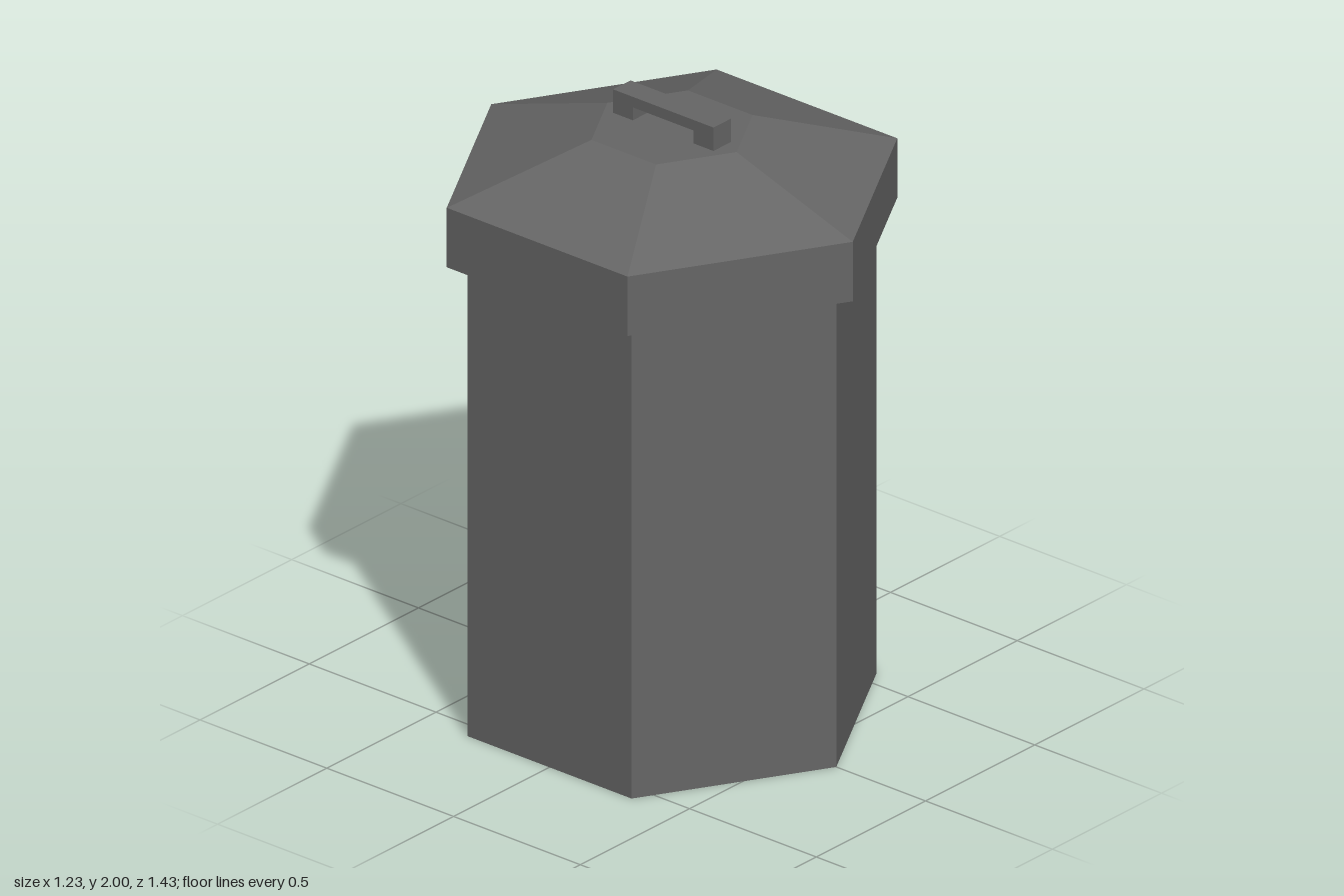
import * as THREE from 'three';

export function createModel() {
  const model = new THREE.Group();
  model.name = 'trashCan';
  const metal = new THREE.MeshStandardMaterial({ color: 0x666666, flatShading: true });
  metal.name = 'darkGreyMetal';

  const add = (name, geometry) => {
    const mesh = new THREE.Mesh(geometry, metal);
    mesh.name = name;
    model.add(mesh);
    return mesh;
  };

  // Six-sided solid from a [radius, height] profile, corners on the z axis
  const hexLathe = (profile) =>
    new THREE.LatheGeometry(profile.map(([r, y]) => new THREE.Vector2(r, y)), 6);

  // Closed hexagonal bin
  add('body', hexLathe([[0, 0], [0.648, 0], [0.648, 1.572]]));

  // Lid: overhanging rim, sloped roof and flat top
  add('lid', hexLathe([[0, 1.572], [0.713, 1.572], [0.713, 1.77], [0.255, 1.922], [0, 1.922]]));

  // Bridge-shaped handle running front to back
  const bridge = new THREE.Shape([
    [-0.198, 1.92], [-0.12, 1.92], [-0.12, 1.965], [0.12, 1.965],
    [0.12, 1.92], [0.198, 1.92], [0.198, 2], [-0.198, 2],
  ].map(([z, y]) => new THREE.Vector2(z, y)));
  const handle = new THREE.ExtrudeGeometry(bridge, { depth: 0.08, bevelEnabled: false });
  handle.translate(0, 0, -0.04).rotateY(Math.PI / 2);
  add('handle', handle);

  return model;
}
